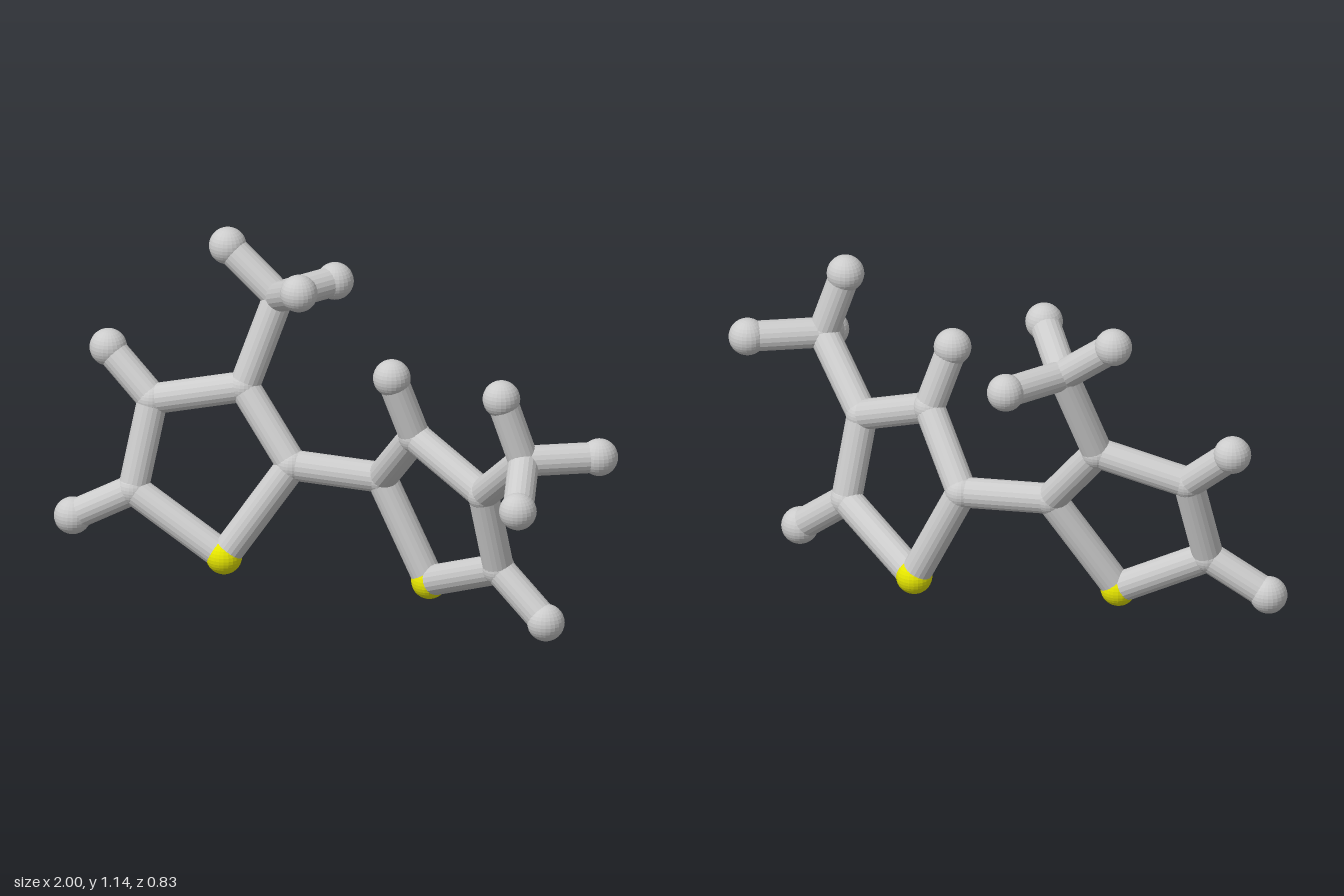
import * as THREE from 'three';

const BOND_RADIUS = 0.05;

// atom positions: s = sulphur, c = carbon, h = hydrogen
const LEFT = {
  s: [-0.425, 0.1, 0.08],
  c2: [-0.235, 0.415, -0.03],
  c3: [-0.43, 0.64, -0.055],
  c4: [-0.72, 0.57, 0.035],
  c5: [-0.745, 0.28, 0.115],
  h4: [-0.89, 0.715, 0.03],
  h5: [-0.94, 0.17, 0.17],
  cm: [-0.355, 0.935, -0.145],
  hm1: [-0.54, 1.078, -0.135],
  hm2: [-0.19, 1.025, 0.003],
  hm3: [-0.27, 0.937, -0.357],
};
const RIGHT = {
  s: [0.215, 0.068, -0.14],
  c2: [0.05, 0.4, -0.115],
  c3: [0.24, 0.612, -0.008],
  c4: [0.53, 0.488, 0.047],
  c5: [0.545, 0.21, -0.025],
  h3: [0.185, 0.82, 0.045],
  h5: [0.73, 0.065, -0.012],
  cm: [0.75, 0.68, 0.16],
  hm1: [0.687, 0.893, 0.195],
  hm2: [0.94, 0.68, 0.003],
  hm3: [0.845, 0.588, 0.355],
};

const RING = ['s-c2', 'c2-c3', 'c3-c4', 'c4-c5', 'c5-s'];
const METHYL = ['cm-hm1', 'cm-hm2', 'cm-hm3'];

export function createModel() {
  const model = new THREE.Group();
  model.name = 'ballAndStickMolecule';

  const grey = new THREE.MeshStandardMaterial({ color: 0xcccccc, flatShading: true });
  const yellow = new THREE.MeshStandardMaterial({ color: 0xe6e600, flatShading: true });

  const kinds = {
    s: { name: 'sulphurAtom', radius: 0.059, material: yellow },
    c: { name: 'carbonAtom', radius: 0.054, material: grey },
    h: { name: 'hydrogenAtom', radius: 0.061, material: grey },
  };
  for (const kind of Object.values(kinds)) {
    kind.geometry = new THREE.SphereGeometry(kind.radius, 24, 16);
  }

  function addBond(parent, a, b, name = 'bond') {
    const start = new THREE.Vector3(...a);
    const end = new THREE.Vector3(...b);
    const along = end.clone().sub(start);
    const geometry = new THREE.CylinderGeometry(BOND_RADIUS, BOND_RADIUS, along.length(), 20);
    const bond = new THREE.Mesh(geometry, grey);
    bond.name = name;
    bond.position.copy(start).lerp(end, 0.5);
    bond.quaternion.setFromUnitVectors(new THREE.Vector3(0, 1, 0), along.normalize());
    parent.add(bond);
  }

  // one five-sided ring with its hydrogens and methyl branch
  function addRing(name, atoms, branches) {
    const ring = new THREE.Group();
    ring.name = name;
    for (const [key, position] of Object.entries(atoms)) {
      const kind = kinds[key[0]];
      const atom = new THREE.Mesh(kind.geometry, kind.material);
      atom.name = kind.name;
      atom.position.set(...position);
      ring.add(atom);
    }
    for (const pair of [...RING, ...METHYL, ...branches]) {
      const [a, b] = pair.split('-');
      addBond(ring, atoms[a], atoms[b]);
    }
    model.add(ring);
  }

  addRing('rightRing', LEFT, ['c3-cm', 'c4-h4', 'c5-h5']);
  addRing('leftRing', RIGHT, ['c4-cm', 'c3-h3', 'c5-h5']);

  // bond joining the two rings
  addBond(model, LEFT.c2, RIGHT.c2, 'linkBond');

  return model;
}
